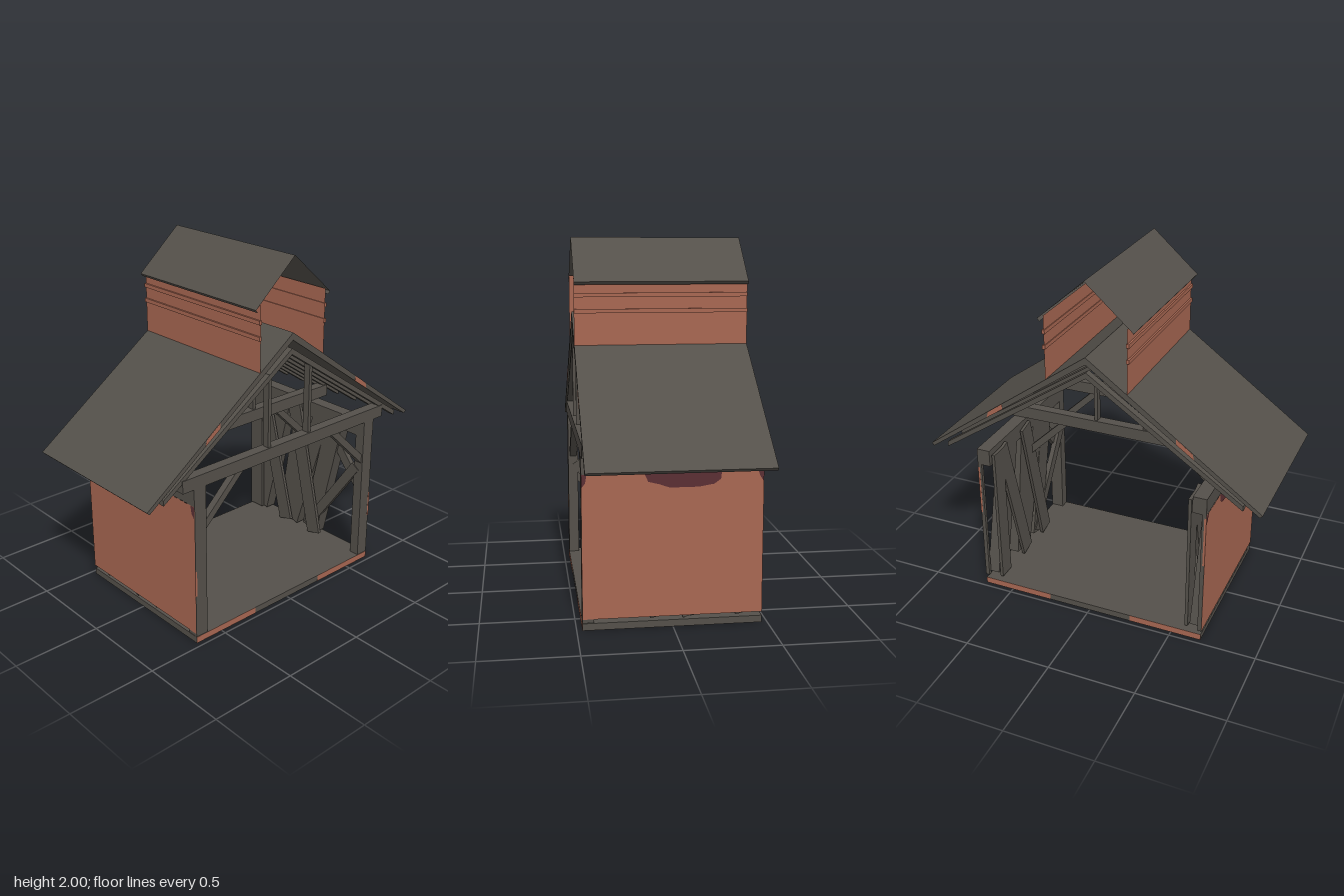
import * as THREE from 'three';

const timber = new THREE.MeshStandardMaterial({ color: 0x54504a, side: THREE.DoubleSide });
timber.name = 'weathered grey';
const brick = new THREE.MeshStandardMaterial({ color: 0xa86752 });
brick.name = 'brick red';
const maroon = new THREE.MeshStandardMaterial({ color: 0x5a2f33 });
maroon.name = 'dark maroon';

const HALF = 0.47; // half depth of the building

export function createModel() {
  const root = new THREE.Group();
  root.name = 'timberBarn';

  const add = (name, geo, mat, parent = root) => {
    const m = new THREE.Mesh(geo, mat);
    m.name = name;
    parent.add(m);
    return m;
  };
  const group = name => {
    const g = new THREE.Group();
    g.name = name;
    root.add(g);
    return g;
  };
  const outline = pts => new THREE.Shape(pts.map(p => new THREE.Vector2(p[0], p[1])));
  // box given by its limits on each axis
  const block = (name, x0, x1, y0, y1, z0, z1, mat = timber, parent = root) => {
    const m = add(name, new THREE.BoxGeometry(Math.abs(x1 - x0), y1 - y0, z1 - z0), mat, parent);
    m.position.set((x0 + x1) / 2, (y0 + y1) / 2, (z0 + z1) / 2);
    return m;
  };
  // outline in x,y given a depth along z
  const prism = (name, pts, z0, z1, mat = timber, parent = root) => {
    const geo = new THREE.ExtrudeGeometry(outline(pts), { depth: z1 - z0, bevelEnabled: false });
    geo.translate(0, 0, z0);
    return add(name, geo, mat, parent);
  };
  // one-sided upright sheet at a given x, facing +x (dir 1) or -x (dir -1)
  const sheet = (name, x, y0, y1, dir, mat, parent) => {
    const m = add(name, new THREE.PlaneGeometry(HALF * 2, y1 - y0), mat, parent);
    m.position.set(x, (y0 + y1) / 2, 0);
    m.rotation.y = dir * Math.PI / 2;
  };
  // sloping sheet running the full depth, from (x,y) to (x,y)
  const slope = (name, a, b, parent) => {
    const geo = new THREE.PlaneGeometry(Math.hypot(b[0] - a[0], b[1] - a[1]), HALF * 2);
    const m = add(name, geo.rotateX(-Math.PI / 2), timber, parent);
    m.position.set((a[0] + b[0]) / 2, (a[1] + b[1]) / 2, 0);
    m.rotation.z = Math.atan((b[1] - a[1]) / (b[0] - a[0]));
  };
  // board lying in a side wall, from (z,y) to (z,y)
  const board = (name, x, thick, width, a, b, parent) => {
    const dz = b[0] - a[0], dy = b[1] - a[1];
    const m = add(name, new THREE.BoxGeometry(thick, Math.hypot(dz, dy), width), timber, parent);
    m.position.set(x, (a[1] + b[1]) / 2, (a[0] + b[0]) / 2);
    m.rotation.x = Math.atan2(dz, dy);
  };

  // floor slab
  block('floor', -0.675, 0.675, 0, 0.037, -HALF, HALF);

  // red facings on the ends of the floor, roof and walls
  for (const s of [-1, 1]) for (const e of [-1, 1]) {
    const z0 = e * HALF - 0.0006, z1 = e * HALF + 0.0006;
    const [low, high] = e > 0 ? [0.29, 0.44] : [0.5, 0.8];
    block('sillFace', s * 0.25, s * 0.675, 0, 0.037, z0, z1, brick);
    prism('roofEndFace', [[s * 0.6, 1.13], [s * 0.59, 1.165], [s * 0.5, 1.232], [s * 0.5, 1.2]], z0, z1, brick);
    block('wallEndFace', s * 0.667, s * 0.679, low, high, z0, z1, brick);
  }

  // main roof slab
  prism('roof', [[0, 1.594], [-0.974, 0.892], [-0.959, 0.877], [0, 1.553],
    [0.959, 0.877], [0.974, 0.892]], -HALF, HALF);

  // rafter pairs below the roof
  for (let i = 0; i < 7; i++) {
    const z = -0.445 + i * 0.89 / 6;
    prism('rafterPair', [[0, 1.507], [-0.868, 0.92], [-0.868, 0.89], [0, 1.473],
      [0.868, 0.89], [0.868, 0.92]], z - 0.02, z + 0.02);
  }

  // cross frames at the front and in the middle; the back is open
  for (const z of [0.44, 0]) {
    const frame = group('crossFrame');
    block('tieBeam', -0.75, 0.75, 0.917, 0.987, z - 0.03, z + 0.03, timber, frame);
    for (const s of [-1, 1]) {
      block('roofStrut', s * 0.14, s * 0.16, 0.987, 1.4, z - 0.02, z + 0.02, timber, frame);
      const p = [[0.33, 0.917], [0.6, 0.655], [0.6, 0.71], [0.385, 0.917]];
      prism('kneeBrace', p.map(q => [s * q[0], q[1]]), z - 0.02, z + 0.02, timber, frame);
    }
  }

  // side walls: brick sheet, posts, plate beam, leaning boards inside
  for (const s of [-1, 1]) {
    const wall = group(s > 0 ? 'leftWall' : 'rightWall');
    sheet('brickSheet', s * 0.679, 0.06, 0.82, s, brick, wall);
    block('wallPlate', s * 0.6, s * 0.678, 0.82, 0.917, -HALF, HALF, timber, wall);
    block('post', s * 0.6, s * 0.676, 0.04, 0.917, 0.41, HALF, timber, wall);
    block('backStud', s * 0.655, s * 0.678, 0.06, 0.82, -HALF, -0.45, timber, wall);

    // thin boards in front, thick ones behind, each from foot z to head z
    for (const [foot, head] of [[0.12, -0.08], [-0.13, -0.36], [-0.4, -0.41]]) {
      board('innerBoard', s * 0.582, 0.018, 0.1, [foot, 0.058], [head, 0.89], wall);
    }
    for (const [foot, head] of [[-0.11, 0.13], [0.06, 0.24], [-0.39, -0.2], [-0.15, -0.03]]) {
      board('leaningBoard', s * 0.637, 0.07, 0.12, [foot, 0.062], [head, 0.86], wall);
    }
    board('longBrace', s * 0.61, 0.03, 0.06, [0.42, 0.62], [0.04, 0.08], wall);
    board('upperBrace', s * 0.63, 0.03, 0.06, [0.42, 0.5], [0.12, 0.86], wall);

    // dark stains under the plate beam
    const stains = [
      [[0.15, 0.82], [0.13, 0.775], [0.07, 0.76], [0.02, 0.742], [-0.13, 0.742],
        [-0.21, 0.755], [-0.245, 0.78], [-0.25, 0.82]],
      [[0.47, 0.82], [0.47, 0.752], [0.45, 0.775], [0.442, 0.82]],
      [[-0.44, 0.82], [-0.45, 0.79], [-0.47, 0.76], [-0.47, 0.82]],
    ];
    for (const pts of stains) {
      const shape = outline(pts.map(p => [-s * p[0], p[1]]));
      const m = add('stain', new THREE.ShapeGeometry(shape), maroon, wall);
      m.position.x = s * 0.681;
      m.rotation.y = s * Math.PI / 2;
    }
  }

  // open-ended ridge vent: walls, slats and a thin roof with turned-in eaves
  const vent = group('ridgeVent');
  for (const s of [-1, 1]) {
    sheet('ventWallOuter', s * 0.231, 1.425, 1.785, s, brick, vent);
    sheet('ventWallInner', s * 0.23, 1.425, 1.785, -s, brick, vent);
    for (const y of [1.61, 1.695]) {
      block('ventSlat', s * 0.225, s * 0.241, y - 0.011, y + 0.011, -HALF, HALF, brick, vent);
    }
    slope('ventRoof', [0, 2], [s * 0.265, 1.766], vent);
    slope('ventEave', [s * 0.252, 1.75], [s * 0.265, 1.766], vent);
  }

  return root;
}
